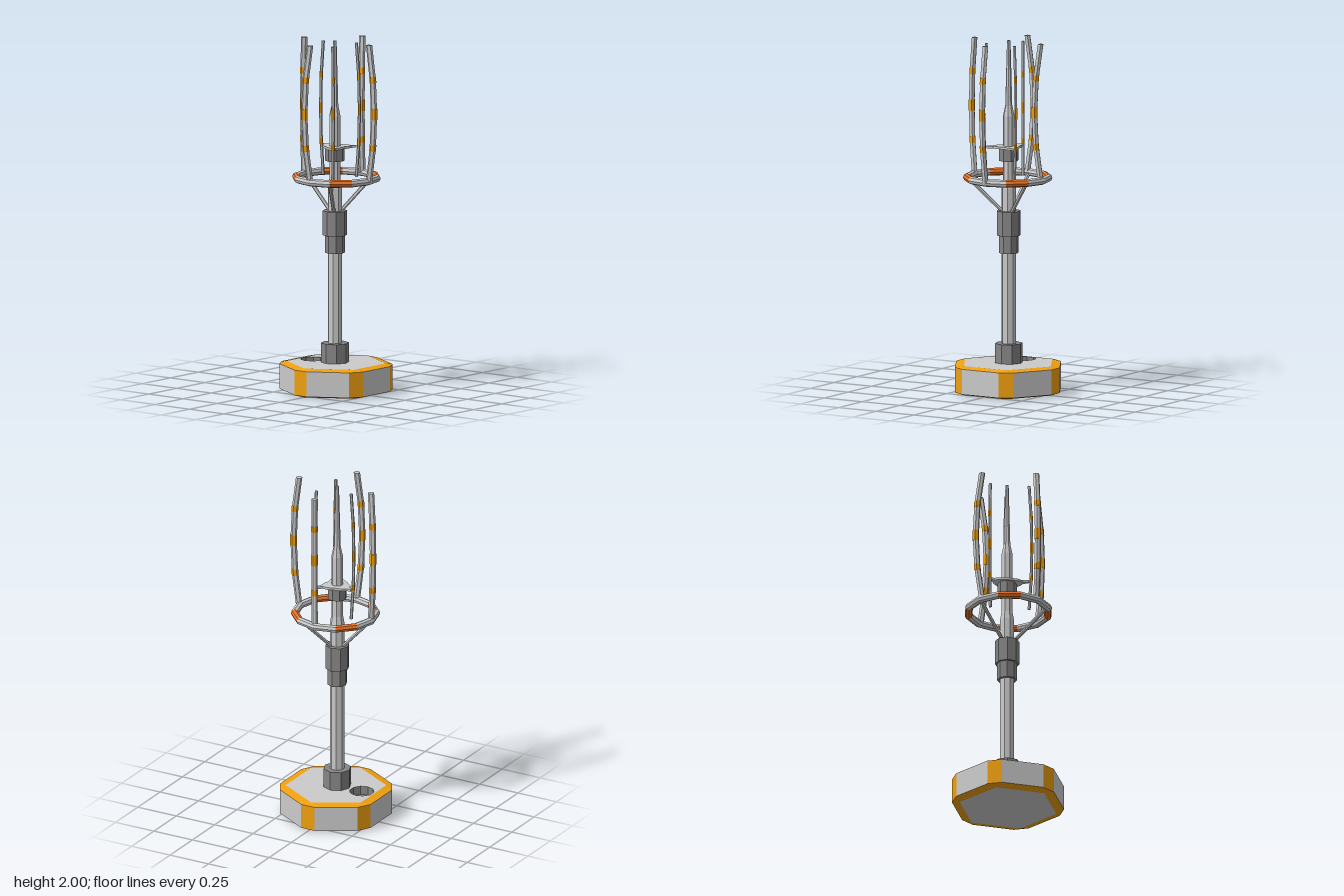
import * as THREE from 'three';

const mat = (color) => new THREE.MeshStandardMaterial({ color, flatShading: true, side: THREE.DoubleSide });
const grey = mat(0xcccccc), dark = mat(0x858585), amber = mat(0xf0a010), orange = mat(0xe8732a);
const POLE_X = -0.008;

function add(parent, name, geometry, material, x = 0, y = 0, z = 0) {
  const mesh = new THREE.Mesh(geometry, material);
  mesh.name = name;
  mesh.position.set(x, y, z);
  parent.add(mesh);
  return mesh;
}

// Triangles from a list of four-cornered faces
function quads(list) {
  const g = new THREE.BufferGeometry();
  g.setFromPoints(list.flatMap(([a, b, c, d]) => [a, b, c, a, c, d]));
  g.computeVertexNormals();
  return g;
}

// Straight rod between two points
function rod(parent, name, a, b, r, sides, material) {
  const dir = b.clone().sub(a);
  const mesh = add(parent, name, new THREE.CylinderGeometry(r, r, dir.length(), sides), material);
  mesh.position.copy(a).add(b).multiplyScalar(0.5);
  mesh.quaternion.setFromUnitVectors(new THREE.Vector3(0, 1, 0), dir.normalize());
}

// Hexagonal base with cut corners, bevelled rims and a round recess
function makeBase() {
  const base = new THREE.Group();
  base.name = 'base';
  const deg = Math.PI / 180;
  const at = (r, angle, y) => new THREE.Vector3(r * Math.cos(angle * deg), y, r * Math.sin(angle * deg));
  const levels = (i) => {
    const apex = 30 + 60 * Math.floor(i / 2);
    const corner = apex + (i % 2 ? 7.8 : -7.8);
    return [at(0.283, apex, 0), at(0.319, corner, 0.012), at(0.319, corner, 0.155), at(0.283, apex, 0.165)];
  };
  const rims = [], corners = [], walls = [];
  for (let i = 0; i < 12; i++) {
    const a = levels(i), b = levels(i + 1);
    for (let k = 0; k < 3; k++) {
      const face = [a[k], a[k + 1], b[k + 1], b[k]];
      (k !== 1 ? rims : i % 2 ? walls : corners).push(face);
    }
  }
  add(base, 'baseRims', quads(rims), amber);
  add(base, 'baseCorners', quads(corners), amber);
  add(base, 'baseWalls', quads(walls), grey);

  const hexagon = () => new THREE.Shape([0, 1, 2, 3, 4, 5].map((k) => {
    const p = at(0.283, 30 + 60 * k, 0);
    return new THREE.Vector2(p.x, p.z);
  }));
  const top = hexagon();
  const hole = [];
  for (let k = 0; k < 10; k++) {
    const t = k * Math.PI / 5 + Math.PI / 2;
    hole.push(new THREE.Vector2(-0.168 + 0.07 * Math.cos(t), 0.07 * Math.sin(t)));
  }
  top.holes.push(new THREE.Path(hole));
  add(base, 'baseTop', new THREE.ShapeGeometry(top).rotateX(-Math.PI / 2), grey, 0, 0.165, 0);
  add(base, 'baseBottom', new THREE.ShapeGeometry(hexagon()).rotateX(Math.PI / 2), grey);
  add(base, 'recessWall', new THREE.CylinderGeometry(0.07, 0.07, 0.05, 10, 1, true), dark, -0.168, 0.14, 0);
  add(base, 'recessFloor', new THREE.CircleGeometry(0.07, 10).rotateX(-Math.PI / 2).rotateY(Math.PI / 2), dark, -0.168, 0.115, 0);
  return base;
}

// Tapering shaft and its collars
function makePole() {
  const pole = new THREE.Group();
  pole.name = 'pole';
  pole.position.x = POLE_X;
  const profile = [[0.042, 0.165], [0.042, 1.16], [0.033, 1.21], [0.033, 1.57], [0.02, 1.63], [0.01, 2], [0, 2]];
  const shaft = new THREE.LatheGeometry(profile.map(([r, y]) => new THREE.Vector2(r, y)), 8);
  add(pole, 'shaft', shaft.rotateY(Math.PI / 8), grey);
  const collars = [['footCollar', 0.079, 0.165, 0.275], ['lowerCollar', 0.056, 0.79, 0.89],
    ['middleCollar', 0.069, 0.89, 1.03], ['upperCollar', 0.055, 1.315, 1.387]];
  for (const [name, r, y0, y1] of collars) {
    add(pole, name, new THREE.CylinderGeometry(r, r, y1 - y0, 8), dark, 0, (y0 + y1) / 2, 0);
  }
  return pole;
}

// Bowed hexagonal post with three colour bands
function makePost(name, x, z, bowX, bowZ, r, y0, y1) {
  const post = new THREE.Group();
  post.name = name;
  const mid = (y0 + y1) / 2, half = (y1 - y0) / 2;
  const piece = (partName, from, to, radius, segments, material) => {
    const g = new THREE.CylinderGeometry(radius, radius, to - from, 6, segments);
    g.translate(0, (from + to) / 2, 0);
    const p = g.attributes.position;
    for (let i = 0; i < p.count; i++) {
      const bow = 1 - ((p.getY(i) - mid) / half) ** 2;
      p.setXYZ(i, p.getX(i) + x + bowX * bow, p.getY(i), p.getZ(i) + z + bowZ * bow);
    }
    g.computeVertexNormals();
    add(post, partName, g, material);
  };
  piece('postRod', y0, y1, r, 4, grey);
  for (const [k, h] of [[-0.5, 0.018], [0, 0.032], [0.5, 0.018]]) {
    piece('postBand', mid + k * half - h, mid + k * half + h, r * 1.08, 2, amber);
  }
  return post;
}

export function createModel() {
  const model = new THREE.Group();
  model.name = 'mast';
  model.add(makeBase(), makePole());

  // Twelve-sided ring with four coloured segments
  const ring = new THREE.Group();
  ring.name = 'ring';
  ring.position.set(0.003, 1.22, 0);
  for (let i = 0; i < 12; i++) {
    const g = new THREE.TorusGeometry(0.23, 0.022, 8, 1, Math.PI / 6);
    g.rotateZ(i * Math.PI / 6).rotateX(Math.PI / 2);
    add(ring, 'ringSegment', g, i % 3 === 1 ? orange : grey);
  }
  model.add(ring);

  // Three struts carrying the ring
  for (const angle of [-1, 1, 3]) {
    const c = Math.cos(angle * Math.PI / 3), s = Math.sin(angle * Math.PI / 3);
    rod(model, 'strut', new THREE.Vector3(POLE_X + 0.03 * c, 1.02, 0.03 * s),
      new THREE.Vector3(0.22 * c, 1.215, 0.22 * s), 0.011, 6, grey);
  }

  // Three-armed plate reaching the inner posts
  const arms = [[0.075, -0.09], [-0.115, -0.028], [0.062, 0.105]];
  const angles = arms.map(([x, z]) => Math.atan2(-z, x - POLE_X)).map((a) => (a + 2 * Math.PI) % (2 * Math.PI));
  const order = [0, 1, 2].sort((a, b) => angles[a] - angles[b]);
  const outline = [];
  order.forEach((k, n) => {
    const a = angles[k];
    const next = angles[order[(n + 1) % 3]] + (n === 2 ? 2 * Math.PI : 0);
    const length = Math.hypot(arms[k][0] - POLE_X, arms[k][1]);
    const point = (r, w) => outline.push(new THREE.Vector2(
      r * Math.cos(a) - w * Math.sin(a), r * Math.sin(a) + w * Math.cos(a)));
    point(0.07, -0.034);
    point(0.09, -0.012);
    point(length, -0.007);
    point(length, 0.007);
    point(0.09, 0.012);
    point(0.07, 0.034);
    const m = (a + next) / 2;
    outline.push(new THREE.Vector2(0.062 * Math.cos(m), 0.062 * Math.sin(m)));
  });
  const plate = new THREE.ExtrudeGeometry(new THREE.Shape(outline), { depth: 0.013, bevelEnabled: false });
  add(model, 'armPlate', plate.rotateX(-Math.PI / 2), grey, POLE_X, 1.387, 0);

  // Outer posts on the ring, each bowed its own way
  const outer = [[0.24, 0, 0.036, 0], [0.01, -0.223, 0.018, 0.03],
    [-0.222, 0.01, -0.027, -0.023], [-0.005, 0.225, -0.018, 0.03]];
  for (const [x, z, bx, bz] of outer) model.add(makePost('outerPost', x, z, bx, bz, 0.018, 1.22, 2));

  // Thinner inner posts
  const bows = [[0.01, -0.015], [-0.013, 0.008], [0.012, 0.01]];
  arms.forEach(([x, z], k) => model.add(makePost('innerPost', x, z, bows[k][0], bows[k][1], 0.009, 1.22, 1.985)));

  return model;
}
